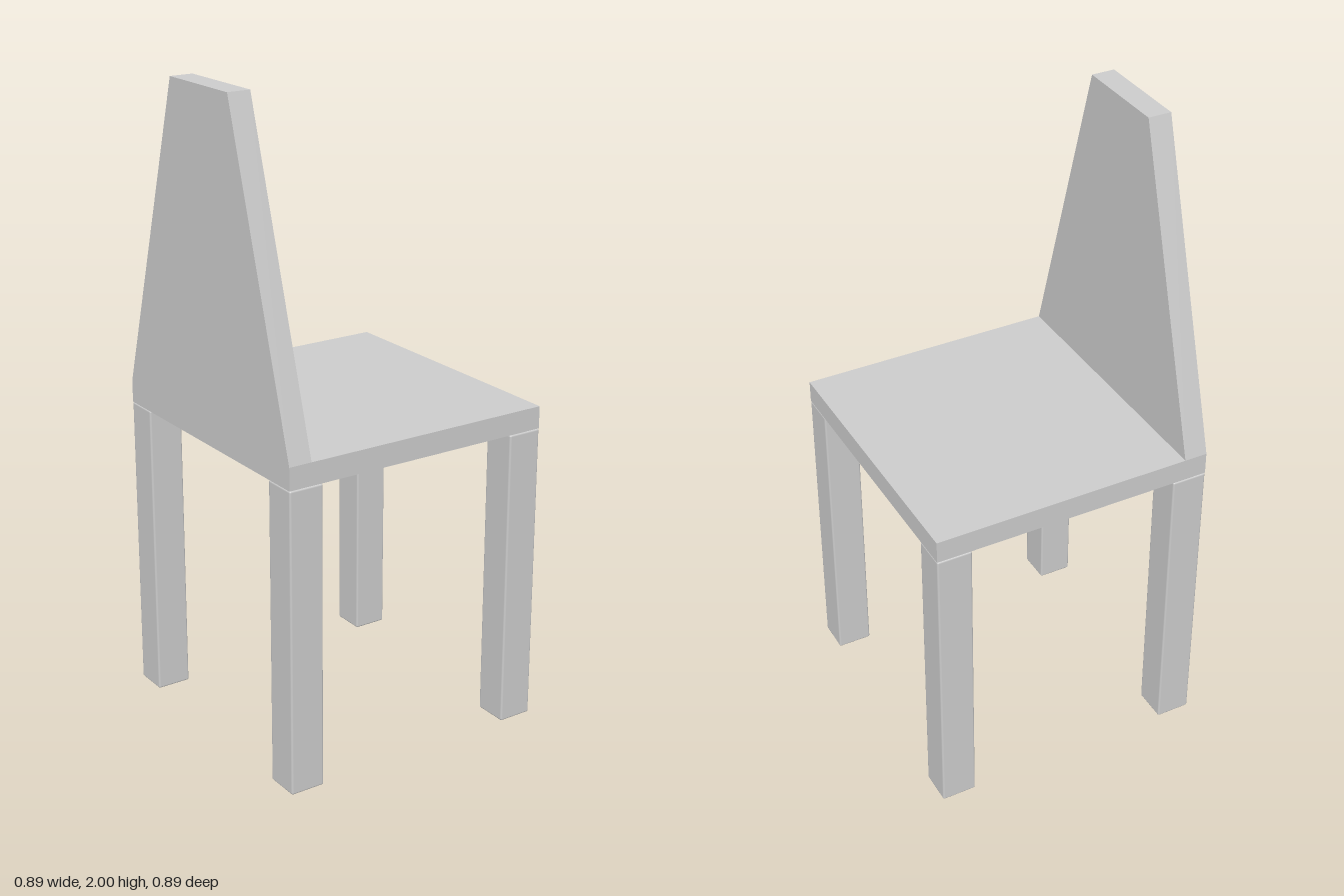
import * as THREE from 'three';
import { RoundedBoxGeometry } from 'three/addons/geometries/RoundedBoxGeometry.js';

const HALF_X = 0.443, HALF_Z = 0.445;
const SEAT_BOTTOM = 0.95, SEAT_TOP = 1.02, TOP = 2;
const LEG = 0.11, BACK_THICKNESS = 0.073, BACK_TOP_HALF = 0.154;

export function createModel() {
  const chair = new THREE.Group();
  chair.name = 'chair';
  const material = new THREE.MeshStandardMaterial({ color: 0xcccccc });

  const add = (name, geometry, x, y, z) => {
    const mesh = new THREE.Mesh(geometry, material);
    mesh.name = name;
    mesh.position.set(x, y, z);
    chair.add(mesh);
  };

  // Seat slab
  add('seat', new THREE.BoxGeometry(HALF_X * 2, SEAT_TOP - SEAT_BOTTOM, HALF_Z * 2),
    0, (SEAT_TOP + SEAT_BOTTOM) / 2, 0);

  // Four square legs with slightly softened edges
  const legGeometry = new RoundedBoxGeometry(LEG, SEAT_BOTTOM, LEG, 2, 0.006);
  for (const [xName, sx] of [['back', -1], ['front', 1]]) {
    for (const [zName, sz] of [['Right', 1], ['Left', -1]]) {
      add(`${xName}${zName}Leg`, legGeometry,
        sx * (HALF_X - LEG / 2), SEAT_BOTTOM / 2, sz * (HALF_Z + 0.002 - LEG / 2));
    }
  }

  // Tapered backrest panel, standing along the -x edge of the seat
  const height = TOP - SEAT_TOP;
  const panel = new THREE.Shape([
    new THREE.Vector2(-HALF_Z, 0),
    new THREE.Vector2(HALF_Z, 0),
    new THREE.Vector2(BACK_TOP_HALF, height),
    new THREE.Vector2(-BACK_TOP_HALF, height),
  ]);
  const backGeometry = new THREE.ExtrudeGeometry(panel, { depth: BACK_THICKNESS, bevelEnabled: false });
  backGeometry.rotateY(Math.PI / 2);
  add('backrest', backGeometry, -HALF_X, SEAT_TOP, 0);

  return chair;
}
